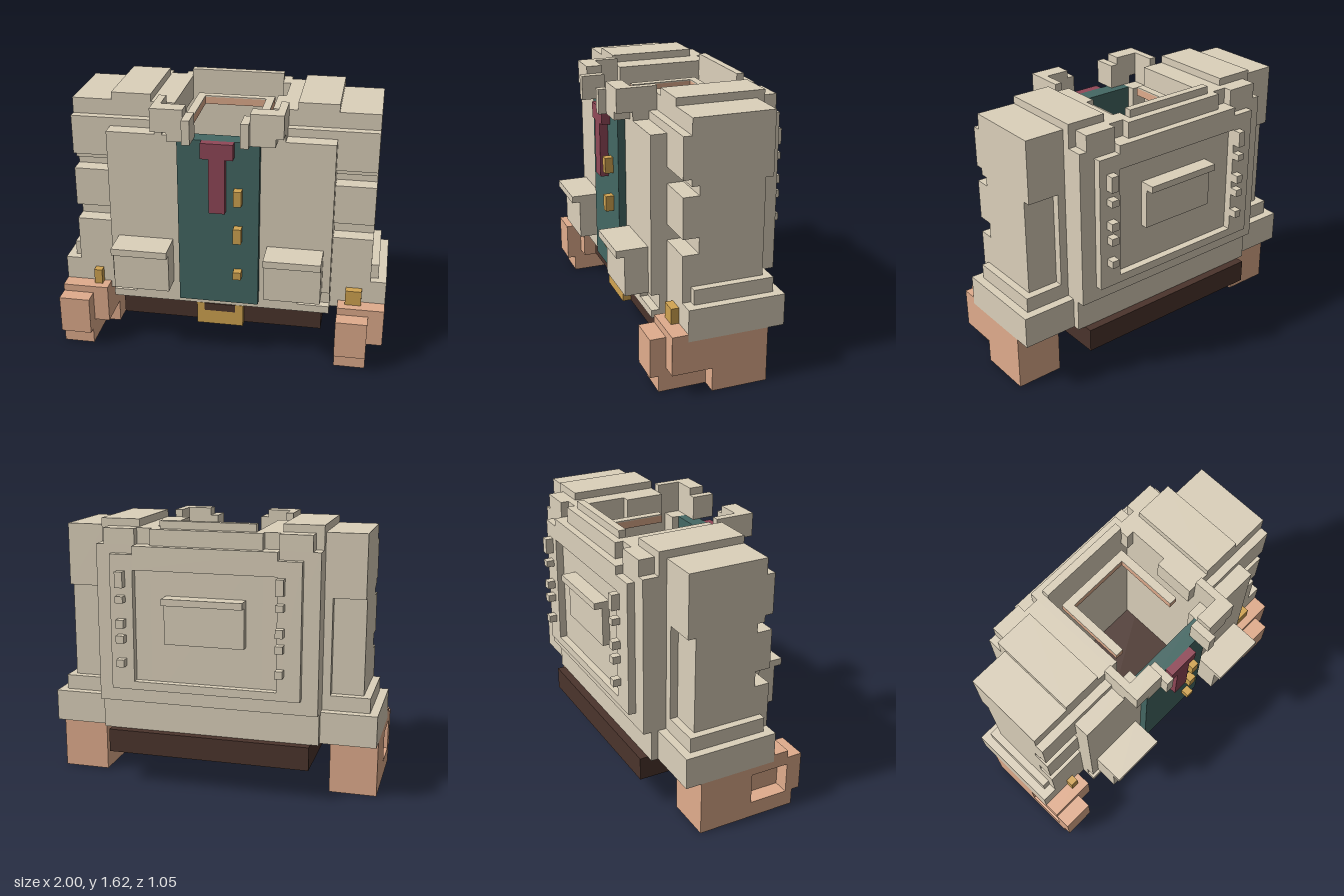
import * as THREE from 'three';

const mat = (name, color) => {
  const m = new THREE.MeshStandardMaterial({ color });
  m.name = name;
  return m;
};

export function createModel() {
  const cloth = mat('coat cloth', 0xdcd1bb);
  const brown = mat('dark trousers', 0x4b342c);
  const teal = mat('teal shirt', 0x446864);
  const wine = mat('wine tie', 0x914858);
  const gold = mat('gold', 0xd2a552);
  const skin = mat('skin', 0xe1ad8d);
  const model = new THREE.Group();
  model.name = 'torso';

  // Box given by its limits on each axis
  const box = (name, m, x0, x1, y0, y1, z0, z1, parent = model) => {
    const mesh = new THREE.Mesh(new THREE.BoxGeometry(x1 - x0, y1 - y0, z1 - z0), m);
    mesh.position.set((x0 + x1) / 2, (y0 + y1) / 2, (z0 + z1) / 2);
    mesh.name = name;
    parent.add(mesh);
  };
  // The same box on both sides
  const pair = (name, m, x0, x1, ...rest) => {
    box(name + 'Left', m, x0, x1, ...rest);
    box(name + 'Right', m, -x1, -x0, ...rest);
  };

  // Trousers and belt buckle
  box('trousers', brown, -0.62, 0.62, 0.195, 0.338, -0.43, 0.283);
  box('buckle', gold, -0.143, 0.143, 0.195, 0.338, 0.283, 0.335);
  box('buckleInset', brown, -0.095, 0.095, 0.29, 0.339, 0.3, 0.34);

  // Hollow coat body
  pair('coatSide', cloth, 0.335, 0.667, 0.53, 1.48, -0.43, 0.24);
  pair('coatHemSide', cloth, 0.335, 0.667, 0.338, 0.53, -0.38, 0.24);
  box('coatBack', cloth, -0.335, 0.335, 0.53, 1.48, -0.43, -0.34);
  box('coatHemBack', cloth, -0.335, 0.335, 0.338, 0.53, -0.38, -0.34);
  box('coatHemFront', cloth, -0.667, 0.667, 0.338, 0.385, 0.283, 0.333);
  pair('frontPanel', cloth, 0.24, 0.667, 0.48, 1.43, 0.24, 0.335);
  box('panelTailLeft', cloth, 0.24, 0.475, 0.385, 0.48, 0.24, 0.335);
  box('panelTailRight', cloth, -0.525, -0.24, 0.385, 0.48, 0.24, 0.335);
  pair('panelTailSide', cloth, 0.475, 0.667, 0.338, 0.48, 0.24, 0.285);

  // Front pockets with flaps
  pair('pocket', cloth, 0.285, 0.62, 0.48, 0.72, 0.335, 0.475);
  pair('pocketFlap', cloth, 0.285, 0.62, 0.72, 0.763, 0.335, 0.523);

  // Shirt, tie and buttons
  box('shirt', teal, -0.24, 0.24, 0.385, 1.43, 0.283, 0.38);
  box('tie', wine, -0.048, 0.048, 1.0, 1.335, 0.38, 0.43);
  box('tieKnot', wine, -0.095, 0.095, 1.335, 1.43, 0.38, 0.43);
  for (const [y0, y1] of [[1.05, 1.145], [0.81, 0.905], [0.572, 0.62]])
    box('button', gold, 0.095, 0.143, y0, y1, 0.38, 0.43);

  // Shoulders, and the lip around the neck opening
  pair('innerShoulder', cloth, 0.335, 0.43, 1.48, 1.575, -0.38, 0.19);
  pair('shoulder', cloth, 0.43, 0.667, 1.48, 1.62, -0.335, 0.19);
  pair('shoulderBack', cloth, 0.43, 0.62, 1.48, 1.575, -0.43, -0.335);
  box('neckLipRight', cloth, -0.335, -0.287, 1.43, 1.575, -0.34, 0.19);
  box('neckLipLeft', cloth, 0.287, 0.335, 1.43, 1.575, -0.05, 0.19);
  box('neckLipCorner', cloth, 0.287, 0.335, 1.43, 1.575, -0.34, -0.29);

  // Collar
  box('collarBack', cloth, -0.335, 0.335, 1.48, 1.575, -0.43, -0.338);
  box('collarBackTop', cloth, -0.287, 0.287, 1.575, 1.62, -0.383, -0.338);
  pair('collarSide', cloth, 0.335, 0.38, 1.43, 1.62, 0.19, 0.335);
  pair('collarFront', cloth, 0.19, 0.38, 1.48, 1.62, 0.335, 0.43);
  box('collarDropLeft', cloth, 0.19, 0.335, 1.43, 1.48, 0.335, 0.43);
  box('collarDropRight', cloth, -0.287, -0.19, 1.43, 1.48, 0.335, 0.43);
  pair('collarTip', cloth, 0.143, 0.19, 1.43, 1.575, 0.335, 0.475);

  // Neck rim with a cloth lining on top
  pair('neckSide', skin, 0.19, 0.24, 1.43, 1.475, -0.24, 0.14);
  box('neckBack', skin, -0.24, 0.24, 1.43, 1.475, -0.29, -0.24);
  pair('neckLiningSide', cloth, 0.19, 0.24, 1.475, 1.483, -0.24, 0.14);
  box('neckLiningBack', cloth, -0.24, 0.24, 1.475, 1.483, -0.29, -0.24);

  // Raised trim on the back
  pair('backStrip', cloth, 0.43, 0.57, 0.62, 1.43, -0.475, -0.43);
  box('backYoke', cloth, -0.43, 0.43, 1.34, 1.48, -0.475, -0.43);
  box('backHem', cloth, -0.43, 0.43, 0.62, 0.67, -0.475, -0.43);
  box('backPatch', cloth, -0.24, 0.24, 0.91, 1.15, -0.475, -0.43);
  box('backPatchLip', cloth, -0.24, 0.24, 1.15, 1.19, -0.523, -0.43);
  for (const [y0, y1] of [[1.24, 1.335], [1.15, 1.19], [1.0, 1.05], [0.91, 0.955], [0.765, 0.81]]) {
    box('backStudLeft', cloth, 0.475, 0.523, y0, y1, -0.523, -0.475);
    box('backStudRight', cloth, -0.475, -0.43, y0, y1, -0.523, -0.475);
  }

  // Sleeves with padded folds in front, and cuffs
  pair('sleeve', cloth, 0.667, 0.905, 0.62, 1.2, -0.24, 0.145);
  pair('sleeveBack', cloth, 0.667, 0.715, 0.62, 1.2, -0.287, -0.24);
  pair('upperSleeve', cloth, 0.667, 0.905, 1.2, 1.575, -0.287, 0.19);
  pair('foldTop', cloth, 0.667, 0.905, 1.24, 1.48, 0.19, 0.24);
  pair('foldMiddle', cloth, 0.667, 0.905, 0.905, 1.145, 0.145, 0.24);
  pair('foldBottom', cloth, 0.667, 0.905, 0.53, 0.81, 0.145, 0.24);
  pair('cuffTop', cloth, 0.667, 0.95, 0.53, 0.62, -0.287, 0.19);
  pair('cuff', cloth, 0.667, 1.0, 0.338, 0.53, -0.338, 0.24);

  // Left hand
  const left = new THREE.Group();
  left.name = 'leftHand';
  model.add(left);
  box('palm', skin, 0.715, 1, 0.145, 0.338, -0.24, 0.335, left);
  box('palmBase', skin, 0.715, 1, 0, 0.145, -0.24, 0.095, left);
  box('fingers', skin, 0.715, 0.905, 0, 0.145, 0.095, 0.38, left);
  box('knuckles', skin, 0.715, 0.905, 0.1, 0.338, 0.335, 0.43, left);
  box('wrist', skin, 0.715, 1, 0.338, 0.383, 0.24, 0.335, left);
  box('cuffButton', gold, 0.76, 0.857, 0.383, 0.478, 0.24, 0.287, left);

  // Right hand, with a hollow on its outer side
  const right = new THREE.Group();
  right.name = 'rightHand';
  model.add(right);
  box('palm', skin, -0.905, -0.715, 0.145, 0.338, -0.24, 0.335, right);
  box('palmBase', skin, -1, -0.715, 0, 0.145, -0.24, 0.095, right);
  box('fingers', skin, -1, -0.81, 0, 0.1, 0.095, 0.38, right);
  box('outerPalm', skin, -1, -0.905, 0.145, 0.338, -0.24, 0.095, right);
  box('outerTop', skin, -1, -0.905, 0.29, 0.338, 0.095, 0.335, right);
  box('innerFingers', skin, -0.905, -0.81, 0.1, 0.145, 0.095, 0.335, right);
  box('knuckles', skin, -1, -0.81, 0.1, 0.338, 0.335, 0.43, right);
  box('wrist', skin, -1, -0.715, 0.338, 0.383, 0.24, 0.335, right);
  box('cuffButton', gold, -0.81, -0.76, 0.383, 0.478, 0.24, 0.287, right);

  return model;
}
